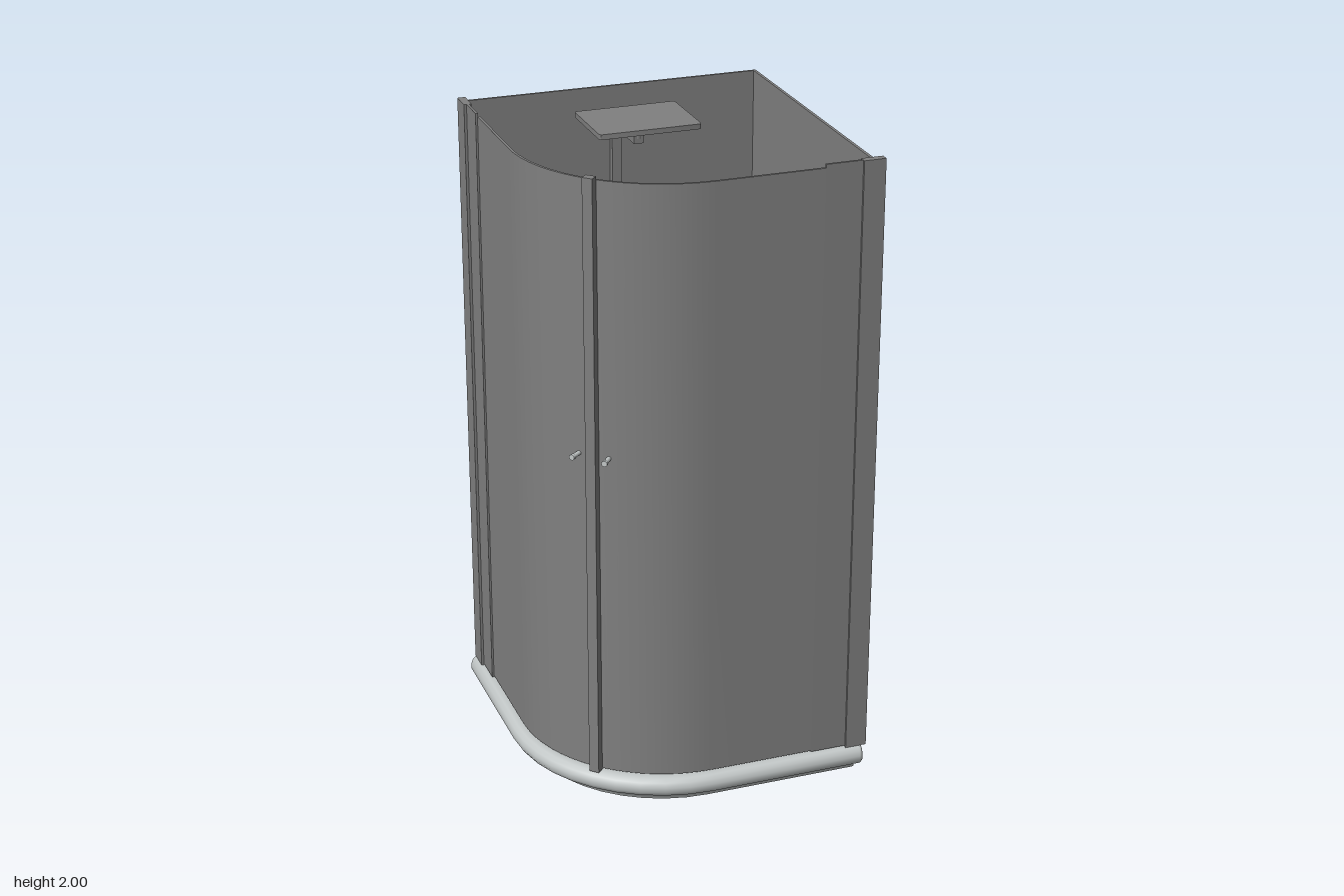
import * as THREE from 'three';
import { toCreasedNormals } from 'three/addons/utils/BufferGeometryUtils.js';

const grey = new THREE.MeshStandardMaterial({ color: 0x808080 });
grey.name = 'panel grey';
const white = new THREE.MeshStandardMaterial({ color: 0xc3c8c8 });
white.name = 'tray white';

function add(parent, name, geometry, material = grey) {
  const mesh = new THREE.Mesh(geometry, material);
  mesh.name = name;
  parent.add(mesh);
  return mesh;
}

// Box given by its limits on each axis
function box(parent, name, x0, x1, y0, y1, z0, z1, material = grey) {
  const mesh = add(parent, name, new THREE.BoxGeometry(x1 - x0, y1 - y0, z1 - z0), material);
  mesh.position.set((x0 + x1) / 2, (y0 + y1) / 2, (z0 + z1) / 2);
  return mesh;
}

// Plan shape (x, -z) raised from y0 to y1
function raise(points, y0, y1) {
  const shape = new THREE.Shape(points.map(([x, z]) => new THREE.Vector2(x, -z)));
  const geometry = new THREE.ExtrudeGeometry(shape, { depth: y1 - y0, bevelEnabled: false });
  geometry.rotateX(-Math.PI / 2).translate(0, y0, 0);
  return toCreasedNormals(geometry, 0.5);
}

// Quadrant outline: large front-left curve, three small corners
function outline({ x0, x1, z0, z1, R, r, y }) {
  const points = [];
  const corner = (cx, cz, radius, start, n) => {
    for (let i = 0; i <= n; i++) {
      const a = start - (i / n) * Math.PI / 2;
      points.push(new THREE.Vector3(cx + radius * Math.cos(a), y, cz + radius * Math.sin(a)));
    }
  };
  corner(x0 + R, z1 - R, R, Math.PI, 10);
  corner(x1 - r, z1 - r, r, Math.PI / 2, 4);
  corner(x1 - r, z0 + r, r, 0, 4);
  corner(x0 + r, z0 + r, r, -Math.PI / 2, 4);
  return points;
}

// Skin through the rings with both ends closed
function loft(rings) {
  const pos = [];
  const tri = (...v) => v.forEach((p) => pos.push(p.x, p.y, p.z));
  const n = rings[0].length;
  const middle = (y) => new THREE.Vector3(0, y, 0);
  const first = rings[0], last = rings[rings.length - 1];
  for (let i = 0; i < n; i++) {
    const j = (i + 1) % n;
    for (let k = 0; k < rings.length - 1; k++) {
      const a = rings[k], b = rings[k + 1];
      tri(a[i], a[j], b[j]);
      tri(a[i], b[j], b[i]);
    }
    tri(middle(first[0].y), first[j], first[i]);
    tri(middle(last[0].y), last[i], last[j]);
  }
  const geometry = new THREE.BufferGeometry();
  geometry.setAttribute('position', new THREE.Float32BufferAttribute(pos, 3));
  return toCreasedNormals(geometry, 0.8);
}

function buildTray(model) {
  // Outer skirt: [inset on the two open sides, height]
  const skirt = [[0.065, 0], [0.06, 0.012], [0.035, 0.03], [0.01, 0.045], [0, 0.06],
    [0, 0.075], [0.005, 0.09], [0.016, 0.1]];
  const rings = skirt.map(([d, y]) => outline({
    x0: -0.5 + d, x1: 0.48, z0: -0.487, z1: 0.487 - d, R: 0.49 - d, r: 0.012, y }));
  // Sunken basin: [inset, height]
  for (const [d, y] of [[0, 0.1], [0.008, 0.096], [0.022, 0.06], [0.035, 0.05]]) {
    rings.push(outline({
      x0: -0.445 + d, x1: 0.417 - d, z0: -0.438 + d, z1: 0.432 - d, R: 0.435 - d, r: 0.045 - d / 2, y }));
  }
  add(model, 'tray', loft(rings), white);
  const drain = add(model, 'drain', new THREE.CylinderGeometry(0.027, 0.027, 0.006, 24));
  drain.position.set(0.255, 0.053, -0.265);
}

function buildEnclosure(model) {
  // Solid walls
  box(model, 'backWall', -0.455, 0.475, 0.105, 1.99, -0.487, -0.478);
  box(model, 'sideWall', 0.467, 0.476, 0.105, 1.99, -0.487, 0.465);

  // Fixed panels and corner posts
  box(model, 'leftFixedPanel', -0.474, -0.466, 0.105, 2, -0.43, -0.32);
  box(model, 'leftPost', -0.482, -0.458, 0.1, 2, -0.486, -0.415);
  box(model, 'rightFixedPanel', 0.315, 0.435, 0.105, 2, 0.45, 0.458);
  box(model, 'rightPost', 0.428, 0.495, 0.1, 2, 0.441, 0.465);

  // Curved doors, each half a quarter turn plus a straight run
  const cx = -0.008, R = 0.456;
  const arc = (from, to, radius) => Array.from({ length: 9 }, (_, i) => {
    const a = from + (to - from) * i / 8;
    return [cx + radius * Math.cos(a), radius * Math.sin(a)];
  });
  const ribbon = (path) => [...path(R + 0.004), ...path(R - 0.004).reverse()];
  const mid = Math.PI * 0.75;
  add(model, 'leftDoor', raise(ribbon((r) =>
    [[cx - r, -0.325], ...arc(Math.PI, mid, r)]), 0.11, 1.99));
  add(model, 'rightDoor', raise(ribbon((r) =>
    [...arc(mid, Math.PI / 2, r), [0.318, r]]), 0.11, 1.99));

  // Meeting post of the doors
  const post = box(model, 'doorPost', -0.016, 0.016, 0.105, 2, -0.013, 0.013);
  post.position.x = -0.34;
  post.position.z = 0.334;
  post.rotation.y = -Math.PI / 4;

  // Door knobs either side of the post
  for (const side of [-1, 1]) {
    const a = mid - side * 0.105;
    const knob = new THREE.Group();
    knob.name = side < 0 ? 'leftKnob' : 'rightKnob';
    const stem = add(knob, 'knobStem', new THREE.CylinderGeometry(0.007, 0.007, 0.04, 12), white);
    const cap = add(knob, 'knobCap', new THREE.CylinderGeometry(0.009, 0.009, 0.01, 12), white);
    for (const m of [stem, cap]) m.rotation.z = Math.PI / 2;
    cap.position.x = 0.02;
    knob.position.set(cx + 0.474 * Math.cos(a), 1.15, 0.474 * Math.sin(a));
    knob.rotation.y = -a;
    model.add(knob);
  }
}

function buildShower(model) {
  // Riser, arm and rain head
  box(model, 'riser', -0.005, 0.025, 0.9, 1.9, -0.478, -0.455);
  box(model, 'showerArm', -0.005, 0.025, 1.875, 1.9, -0.478, -0.25);
  const neck = add(model, 'showerNeck', new THREE.CylinderGeometry(0.012, 0.012, 0.05, 16));
  neck.position.set(0.01, 1.915, -0.26);
  const plate = [];
  for (const [x, z, start] of [[0.16, -0.15, 90], [0.16, -0.37, 0], [-0.14, -0.37, -90], [-0.14, -0.15, 180]]) {
    for (let i = 0; i <= 3; i++) {
      const a = THREE.MathUtils.degToRad(start - i * 30);
      plate.push([x + 0.01 * Math.cos(a), z + 0.01 * Math.sin(a)]);
    }
  }
  add(model, 'showerHead', raise(plate, 1.937, 1.953));

  // Mixer valves on the back wall
  for (const x of [-0.135, 0.148]) {
    const rose = add(model, 'valveRose', new THREE.CylinderGeometry(0.039, 0.039, 0.01, 24));
    rose.rotation.x = Math.PI / 2;
    rose.position.set(x, 1.05, -0.473);
    box(model, 'valveLever', x - 0.004, x + 0.004, 1.03, 1.07, -0.47, -0.43);
  }
}

function buildShelf(model) {
  // Rounded shelf with two wall brackets
  const points = [];
  for (const [z, start] of [[0.162, Math.PI], [-0.137, 0]]) {
    for (let i = 0; i <= 12; i++) {
      const a = start - i * Math.PI / 12;
      points.push([0.397 + 0.039 * Math.cos(a), z + 0.039 * Math.sin(a)]);
    }
  }
  add(model, 'shelf', raise(points, 0.99, 1.005));
  for (const z of [-0.123, 0.15]) {
    box(model, 'shelfBracket', 0.42, 0.468, 0.98, 0.992, z - 0.005, z + 0.005);
    const flange = add(model, 'bracketFlange', new THREE.CylinderGeometry(0.008, 0.022, 0.012, 16));
    flange.rotation.z = Math.PI / 2;
    flange.position.set(0.461, 0.986, z);
  }
}

export function createModel() {
  const model = new THREE.Group();
  model.name = 'showerCubicle';
  buildTray(model);
  buildEnclosure(model);
  buildShower(model);
  buildShelf(model);
  return model;
}
